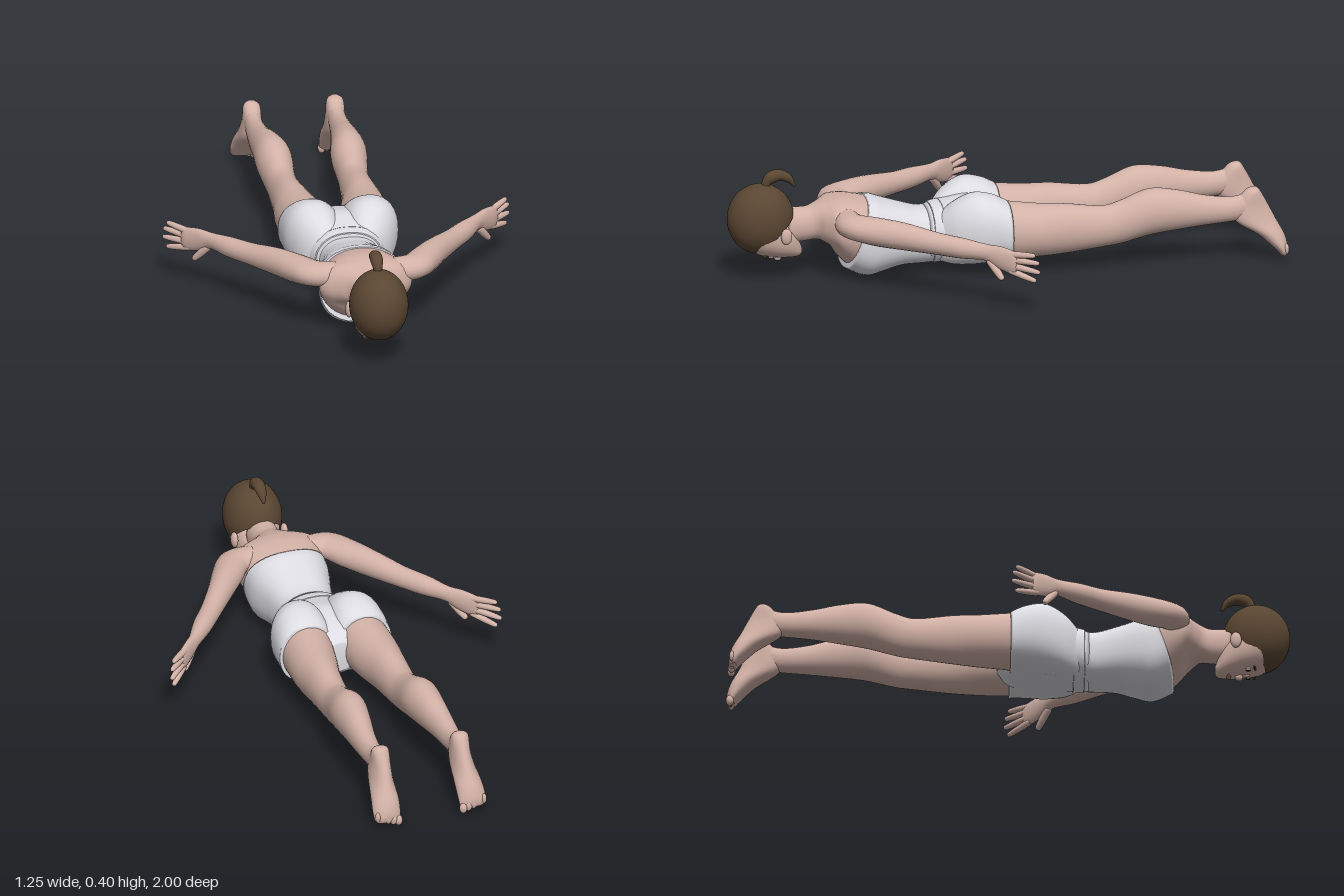
import * as THREE from 'three';

const mat = (name, color) => {
  const m = new THREE.MeshStandardMaterial({ color, side: THREE.DoubleSide });
  m.name = name;
  return m;
};
const V = (x, y, z) => new THREE.Vector3(x, y, z);

// Resample rows of numbers along a Catmull-Rom spline
function smooth(rows, per = 5) {
  const out = [], last = rows.length - 1;
  for (let i = 0; i < last; i++) {
    const p = [rows[Math.max(0, i - 1)], rows[i], rows[i + 1], rows[Math.min(last, i + 2)]];
    for (let k = 0; k < per; k++) {
      const t = k / per;
      out.push(rows[0].map((_, c) => {
        const [a, b, d, e] = p.map(r => r[c]);
        return b + 0.5 * t * (d - a + t * (2 * a - 5 * b + 4 * d - e + t * (3 * (b - d) + e - a)));
      }));
    }
  }
  out.push(rows[last]);
  return out;
}

// Skin a list of rings, with fan caps on both ends
function skinRings(rings) {
  const n = rings[0].length, pos = [], idx = [];
  const mid = r => r.reduce((s, p) => s.add(p), V(0, 0, 0)).divideScalar(n);
  rings.forEach(r => r.forEach(p => pos.push(p.x, p.y, p.z)));
  const ends = [0, rings.length - 1];
  ends.forEach(e => pos.push(...mid(rings[e]).toArray()));
  const h = rings.length >> 1, c = mid(rings[h]);
  const axis = rings[h][0].clone().sub(c).cross(rings[h][n >> 2].clone().sub(c));
  const flip = axis.dot(mid(rings[ends[1]]).sub(mid(rings[0]))) < 0;
  const tri = (a, b, d) => (flip ? idx.push(a, d, b) : idx.push(a, b, d));
  for (let j = 0; j < n; j++) {
    const k = (j + 1) % n, top = ends[1] * n;
    for (let i = 0; i < ends[1]; i++) {
      tri(i * n + j, i * n + k, (i + 1) * n + j);
      tri(i * n + k, (i + 1) * n + k, (i + 1) * n + j);
    }
    tri(rings.length * n, k, j);
    tri(rings.length * n + 1, top + j, top + k);
  }
  const g = new THREE.BufferGeometry();
  g.setAttribute('position', new THREE.Float32BufferAttribute(pos, 3));
  g.setIndex(idx);
  g.computeVertexNormals();
  return g;
}

const around = (n, f) => Array.from({ length: n }, (_, j) => f((j / n) * Math.PI * 2));
const soft = (v, e) => Math.sign(v) * Math.abs(v) ** e;

// Rows [z, x, halfWidth, yBottom, yTop, slant]: sections facing z
function body(rows, s = 1, e = 0.9) {
  return skinRings(smooth(rows).map(([z, x, w, y0, y1, slant = 0]) => around(36, t => {
    const dy = soft(Math.sin(t), e) * (y1 - y0) / 2;
    return V(s * x + soft(Math.cos(t), e) * w, (y0 + y1) / 2 + dy, z + slant * dy);
  })));
}

// Rows [x, y, z, radiusAlongUp, radiusAcross]: sections following a path
function limb(rows, up = V(0, 1, 0), s = 1) {
  const r = smooth(rows), at = i => V(s * r[i][0], r[i][1], r[i][2]);
  return skinRings(r.map((row, i) => {
    const d = at(Math.min(i + 1, r.length - 1)).sub(at(Math.max(i - 1, 0))).normalize();
    const side = up.clone().cross(d).normalize(), v = d.clone().cross(side);
    return around(20, t => at(i).addScaledVector(v, Math.sin(t) * row[3]).addScaledVector(side, Math.cos(t) * row[4]));
  }));
}

export function createModel() {
  const skin = mat('skin', 0xd3b2a7), hair = mat('hair', 0x5a4632), cloth = mat('cloth', 0xdddce2);
  const white = mat('eyeWhite', 0xeeeeee), dark = mat('iris', 0x2e221c), lip = mat('lips', 0xb77f78);
  const model = new THREE.Group();
  model.name = 'proneFigure';
  const add = (name, geo, m) => {
    const mesh = new THREE.Mesh(geo, m);
    mesh.name = name;
    model.add(mesh);
    return mesh;
  };
  const blob = (name, m, p, r) => {
    const mesh = add(name, new THREE.SphereGeometry(1, 24, 16), m);
    mesh.position.set(...p);
    mesh.scale.set(...r);
    return mesh;
  };

  // Torso: top, bare shoulders and neck
  add('top', body([
    [0.22, 0, 0.128, 0.037, 0.237, 0], [0.3, 0, 0.108, 0.03, 0.23, 0], [0.38, 0, 0.12, 0.028, 0.25, 0],
    [0.45, 0, 0.14, 0.012, 0.272, 0], [0.495, 0, 0.15, 0.001, 0.28, -0.15], [0.545, 0, 0.153, 0.035, 0.283, -0.35],
  ], 1, 0.82), cloth);
  add('shouldersAndNeck', body([
    [0.53, 0, 0.147, 0.04, 0.278, -0.35], [0.59, 0, 0.165, 0.08, 0.29, -0.2], [0.63, 0, 0.16, 0.12, 0.286, -0.1],
    [0.66, 0, 0.11, 0.138, 0.278, -0.1], [0.685, 0, 0.07, 0.14, 0.268, 0], [0.72, 0, 0.055, 0.135, 0.257, 0],
    [0.79, 0, 0.055, 0.13, 0.26, 0],
  ]), skin);

  // Shorts: pelvis and waistband
  add('shortsPelvis', body([
    [0.285, 0, 0.112, 0.03, 0.233], [0.2, 0, 0.152, 0.035, 0.25], [0.13, 0, 0.185, 0.04, 0.262],
    [0.06, 0, 0.19, 0.046, 0.25], [0.0, 0, 0.13, 0.058, 0.23], [-0.04, 0, 0.045, 0.09, 0.2],
  ]), cloth);
  add('waistband', body([
    [0.23, 0, 0.137, 0.031, 0.246], [0.25, 0, 0.13, 0.03, 0.244], [0.27, 0, 0.122, 0.029, 0.24],
  ]), cloth);

  for (const s of [1, -1]) {
    const side = s > 0 ? 'left' : 'right';
    // Leg: shorts leg, bare leg, foot, toes
    add(side + 'ShortsLeg', body([
      [0.25, 0.07, 0.05, 0.05, 0.215], [0.2, 0.088, 0.08, 0.04, 0.265], [0.13, 0.102, 0.1, 0.042, 0.299],
      [0.06, 0.105, 0.105, 0.048, 0.289], [0.005, 0.107, 0.103, 0.049, 0.262],
    ], s), cloth);
    add(side + 'Leg', body([
      [0.04, 0.103, 0.096, 0.053, 0.266], [-0.1, 0.117, 0.085, 0.058, 0.25], [-0.2, 0.124, 0.068, 0.065, 0.245],
      [-0.33, 0.128, 0.057, 0.08, 0.23], [-0.4, 0.131, 0.056, 0.09, 0.247], [-0.5, 0.135, 0.065, 0.116, 0.284],
      [-0.6, 0.141, 0.055, 0.13, 0.275], [-0.7, 0.148, 0.043, 0.142, 0.251], [-0.8, 0.15, 0.034, 0.15, 0.24],
      [-0.87, 0.15, 0.03, 0.16, 0.26],
    ], s, 1), skin);
    // Rows: y, x, halfWidth, zFront, zBack
    const foot = smooth([
      [0.27, 0.15, 0.012, -0.865, -0.888], [0.255, 0.15, 0.03, -0.84, -0.9], [0.2, 0.15, 0.035, -0.8, -0.93],
      [0.15, 0.153, 0.041, -0.808, -0.955], [0.1, 0.157, 0.049, -0.885, -0.982], [0.06, 0.16, 0.051, -0.93, -0.994],
      [0.035, 0.16, 0.048, -0.955, -0.994], [0.022, 0.16, 0.04, -0.966, -0.988],
    ]).map(([y, x, w, a, b]) => around(24, t => V(s * x + Math.cos(t) * w, y, (a + b) / 2 + Math.sin(t) * (a - b) / 2)));
    add(side + 'Foot', skinRings(foot), skin);
    for (let i = 0; i < 5; i++) {
      const r = 0.014 - i * 0.0012;
      blob(side + 'Toe', skin, [s * (0.122 + i * 0.0195), 0.024 + i * 0.006, -0.984], [r, 0.02, r]);
    }

    // Arm, palm, fingers and thumb
    add(side + 'Arm', limb([
      [0.1, 0.227, 0.59, 0.045, 0.045], [0.175, 0.228, 0.578, 0.044, 0.058], [0.228, 0.222, 0.51, 0.05, 0.055],
      [0.285, 0.217, 0.425, 0.049, 0.045], [0.36, 0.207, 0.32, 0.04, 0.037], [0.42, 0.203, 0.24, 0.037, 0.034],
      [0.475, 0.2, 0.165, 0.03, 0.022], [0.51, 0.191, 0.125, 0.041, 0.018], [0.55, 0.179, 0.083, 0.043, 0.015],
      [0.563, 0.177, 0.069, 0.032, 0.01],
    ], V(0, 1, 0), s), skin);
    const digit = (name, a, b, r) => add(side + name, limb([0, 0.08, 0.5, 0.92, 1].map((t, i) => {
      const k = r * [0.8, 1, 1, 0.75, 0.25][i];
      return [0, 1, 2].map(c => a[c] + (b[c] - a[c]) * t).concat(k, k);
    }), V(0, 1, 0), s), skin);
    [[0.208, 0.218, 0.61, 0.015], [0.188, 0.192, 0.62, 0.003], [0.168, 0.158, 0.622, 0], [0.148, 0.124, 0.61, 0.012]]
      .forEach(([y0, y1, x, z]) => digit('Finger', [0.54, y0, 0.092], [x, y1, z], 0.0115));
    digit('Thumb', [0.485, 0.175, 0.155], [0.532, 0.112, 0.115], 0.014);

    // Ear, eye and brow
    blob(side + 'Ear', skin, [s * 0.094, 0.18, 0.805], [0.013, 0.03, 0.02]);
    blob(side + 'EyeWhite', white, [s * 0.035, 0.092, 0.85], [0.016, 0.006, 0.009]);
    blob(side + 'Iris', dark, [s * 0.035, 0.0885, 0.85], [0.008, 0.0045, 0.008]);
    blob(side + 'Brow', hair, [s * 0.038, 0.095, 0.874], [0.021, 0.005, 0.004]).rotation.y = s * 0.15;
  }

  // Face, nose and lips
  add('face', body([
    [0.733, 0, 0.018, 0.088, 0.115], [0.745, 0, 0.036, 0.079, 0.145], [0.77, 0, 0.058, 0.077, 0.2],
    [0.81, 0, 0.079, 0.079, 0.24], [0.85, 0, 0.09, 0.085, 0.27], [0.9, 0, 0.09, 0.098, 0.3],
    [0.95, 0, 0.06, 0.14, 0.28],
  ]), skin);
  blob('nose', skin, [0, 0.077, 0.818], [0.012, 0.014, 0.014]);
  blob('noseBridge', skin, [0, 0.085, 0.837], [0.008, 0.008, 0.02]);
  blob('lips', lip, [0, 0.079, 0.782], [0.021, 0.006, 0.008]);

  // Hair cap cut along the hairline, and ponytail
  const cap = new THREE.SphereGeometry(1, 40, 28, 0, Math.PI * 2, 0, 2.14);
  cap.rotateX(0.735);
  cap.scale(0.105, 0.128, 0.12);
  cap.translate(0, 0.224, 0.88);
  add('hairCap', cap, hair);
  add('ponytail', limb([
    [0, 0.32, 0.86, 0.016, 0.016], [0, 0.352, 0.86, 0.016, 0.016], [0, 0.374, 0.842, 0.022, 0.022],
    [0, 0.381, 0.81, 0.022, 0.02], [0, 0.366, 0.778, 0.017, 0.015], [0, 0.336, 0.756, 0.004, 0.004],
  ], V(1, 0, 0)), hair);
  return model;
}
